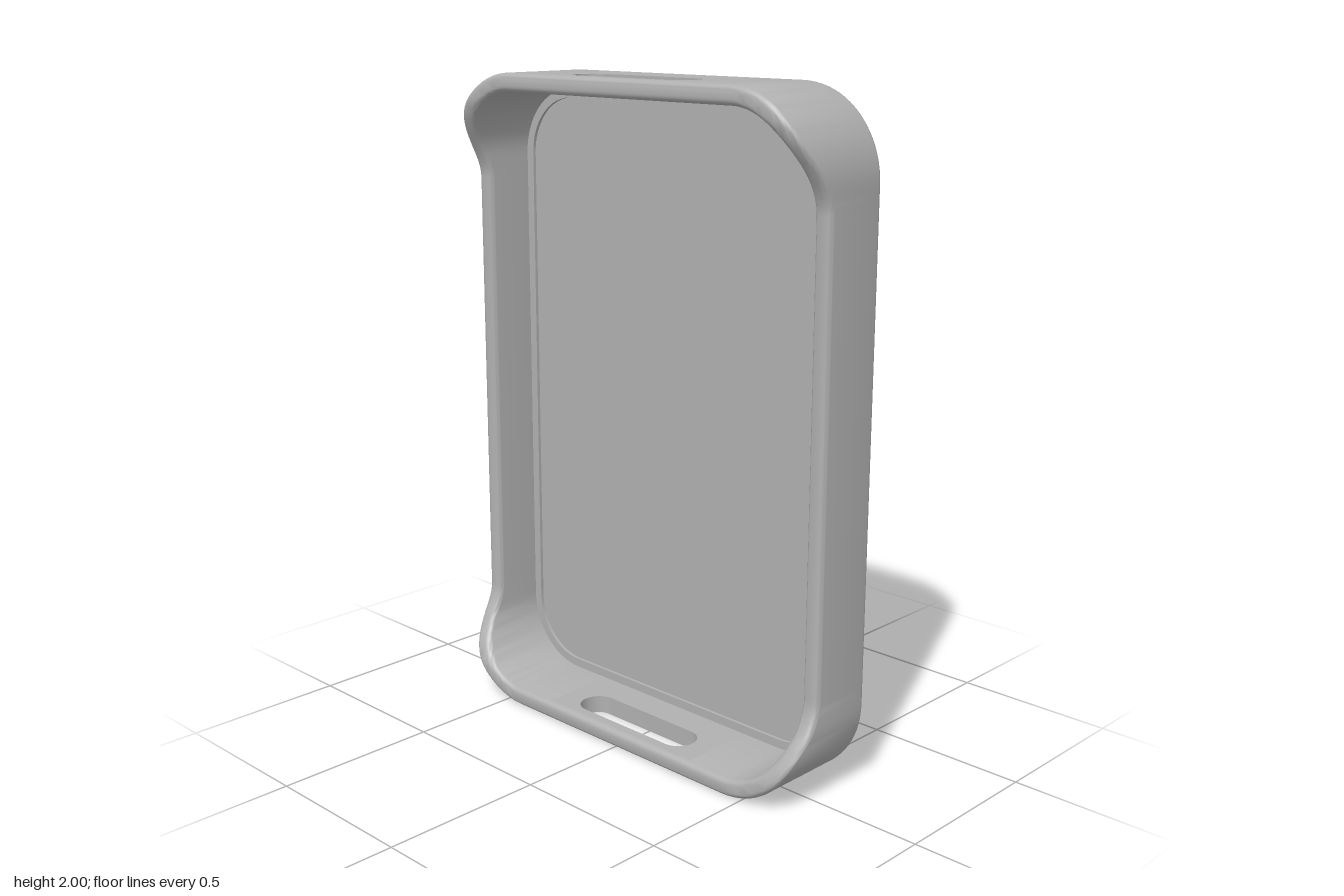
import * as THREE from 'three';
import { toCreasedNormals } from 'three/addons/utils/BufferGeometryUtils.js';

const W = 0.695, H = 1, R = 0.26;        // half width, half height, corner radius
const WALL = 0.055, EDGE = 0.018;        // wall thickness, edge rounding
const BACK = -0.162, FRONT = 0.162, LOW = 0.055;
const SLOT_X = 0.3;                      // half width of the wall panels with slots

// Rim height: low along the sides, swelling smoothly at both ends
const rim = (y) => LOW + (FRONT - LOW) * THREE.MathUtils.smoothstep(Math.abs(y), 0.67, 0.93);

// Stations around the rounded rectangle, counterclockwise: centre and outward direction
function makeStations() {
  const list = [], cx = W - R, cy = H - R;
  const corners = [[1, 1], [-1, 1], [-1, -1], [1, -1]];
  corners.forEach(([sx, sy], q) => {
    for (let k = 0; k <= 20; k++) {
      const a = (q + k / 20) * Math.PI / 2;
      list.push({ x: sx * cx, y: sy * cy, dx: Math.cos(a), dy: Math.sin(a) });
    }
    if (q % 2 === 0) {
      list.push({ x: sx * SLOT_X, y: sy * cy, dx: 0, dy: sy, slot: true });
      list.push({ x: -sx * SLOT_X, y: sy * cy, dx: 0, dy: sy });
    } else {
      for (const y of [0.72, 0.7, 0.685, 0.67, -0.67, -0.685, -0.7, -0.72])
        list.push({ x: sx * cx, y: sy * y, dx: sx, dy: 0 });
    }
  });
  return list;
}

const place = (s, inset) => [s.x + s.dx * (R - inset), s.y + s.dy * (R - inset)];

// Cross-section: [inset, z, measured from the rim?], from the floor over the rim to the back
function makeProfile() {
  const p = [[0.082, -0.11], [0.082, -0.1], [WALL, -0.1]];
  for (let k = 0; k <= 5; k++) {
    const a = k / 5 * Math.PI / 2;
    p.push([WALL - EDGE + EDGE * Math.cos(a), EDGE * Math.sin(a) - EDGE, true]);
  }
  for (let k = 0; k <= 5; k++) {
    const a = k / 5 * Math.PI / 2;
    p.push([EDGE - EDGE * Math.sin(a), EDGE * Math.cos(a) - EDGE, true]);
  }
  for (let k = 0; k <= 4; k++) {
    const a = k / 4 * Math.PI / 2;
    p.push([EDGE - EDGE * Math.cos(a), BACK + EDGE - EDGE * Math.sin(a)]);
  }
  return p;
}

function frameGeometry(stations) {
  const profile = makeProfile(), n = profile.length, pos = [], idx = [];
  const innerWall = 2, outerWall = 14;   // profile steps left open for the slot panels
  for (const s of stations) for (const [inset, z, onRim] of profile) {
    const [x, y] = place(s, inset);
    pos.push(x, y, onRim ? rim(y) + z : z);
  }
  stations.forEach((s, i) => {
    const next = (i + 1) % stations.length;
    for (let j = 0; j < n - 1; j++) {
      if (s.slot && (j === innerWall || j === outerWall)) continue;
      const a = i * n + j, d = next * n + j;
      idx.push(a, a + 1, d + 1, a, d + 1, d);
    }
  });
  const g = new THREE.BufferGeometry();
  g.setAttribute('position', new THREE.Float32BufferAttribute(pos, 3));
  g.setIndex(idx);
  return toCreasedNormals(g, 0.7);
}

// Wall panel with a rounded slot through it
function slotPanelGeometry() {
  const z0 = BACK + EDGE, z1 = FRONT - EDGE;
  const shape = new THREE.Shape([[-SLOT_X, -z1], [SLOT_X, -z1], [SLOT_X, -z0], [-SLOT_X, -z0]]
    .map(([x, y]) => new THREE.Vector2(x, y)));
  const r = 0.0575, hole = new THREE.Path();
  hole.absarc(0.23 - r, -r, r, -Math.PI / 2, Math.PI / 2, false);
  hole.absarc(-0.23 + r, -r, r, Math.PI / 2, Math.PI * 1.5, false);
  hole.closePath();
  shape.holes.push(hole);
  const g = new THREE.ExtrudeGeometry(shape, { depth: WALL, bevelEnabled: false, curveSegments: 16 });
  g.rotateX(-Math.PI / 2);
  return toCreasedNormals(g, 0.6);
}

export function createModel() {
  const group = new THREE.Group();
  group.name = 'traySleeve';
  const grey = new THREE.MeshStandardMaterial({ color: 0xb0b0b0 });
  grey.name = 'grey';
  const add = (name, geometry) => {
    const mesh = new THREE.Mesh(geometry, grey);
    mesh.name = name;
    group.add(mesh);
    return mesh;
  };

  const body = makeStations();
  const panel = (inset) => new THREE.ShapeGeometry(
    new THREE.Shape(body.map((s) => new THREE.Vector2(...place(s, inset)))));

  // Walls with rounded rim, ledge and back edge
  add('frame', frameGeometry(body)).position.y = H;

  // Inner floor and back face
  add('floor', panel(0.082)).position.set(0, H, -0.11);
  const back = add('backFace', panel(EDGE));
  back.position.set(0, H, BACK);
  back.rotation.y = Math.PI;

  // Slotted middle of the top and bottom walls
  const slotPanel = slotPanelGeometry();
  add('topSlotPanel', slotPanel).position.y = 2 * H - WALL;
  add('bottomSlotPanel', slotPanel);

  return group;
}
